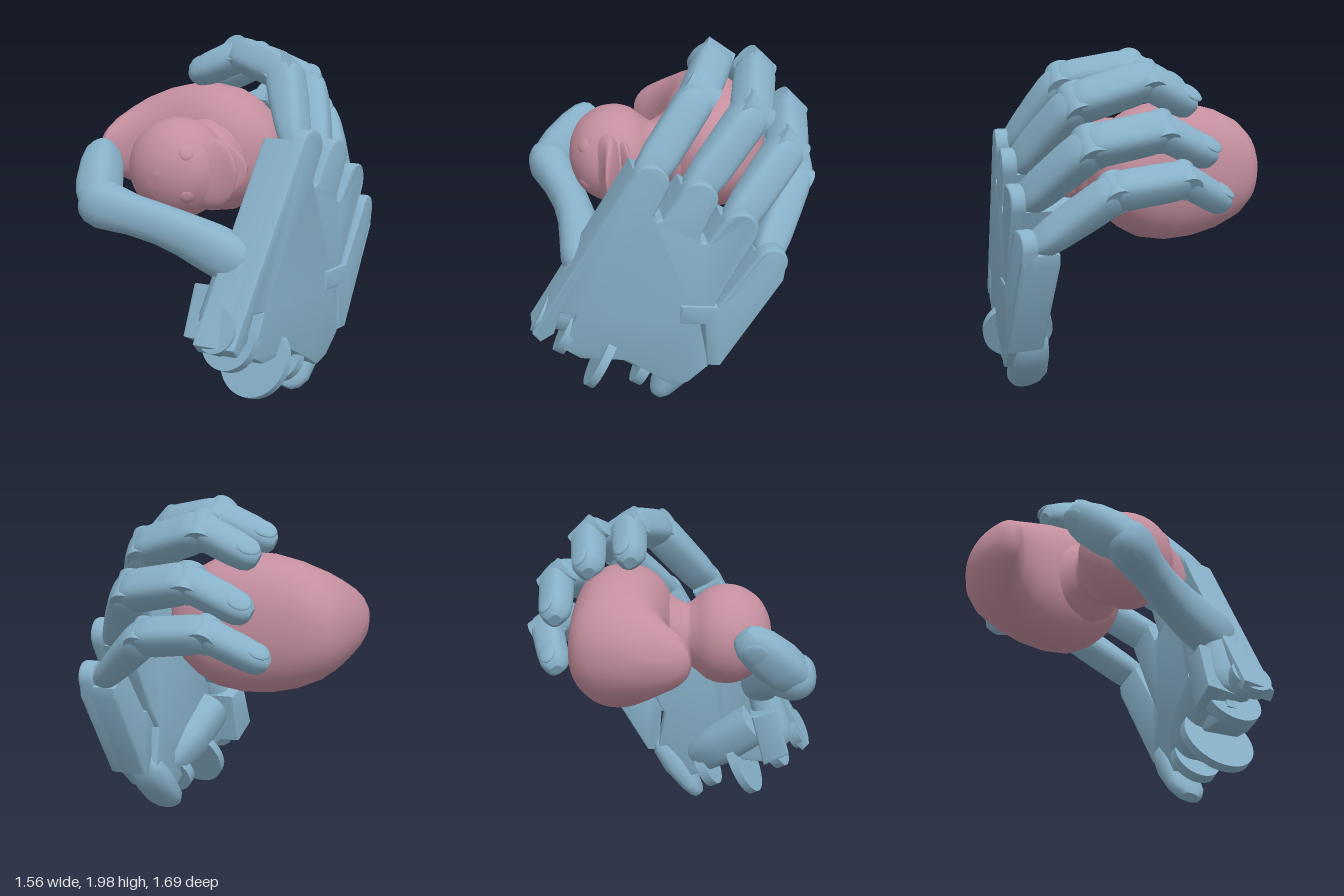
import * as THREE from 'three';
import { toCreasedNormals } from 'three/addons/utils/BufferGeometryUtils.js';

const V = (x, y, z) => new THREE.Vector3(x, y, z);
const blue = new THREE.MeshStandardMaterial({ color: 0x87b0c8 });
const pink = new THREE.MeshStandardMaterial({ color: 0xc48f9e });

function add(parent, name, geo, mat = blue) {
  const m = new THREE.Mesh(geo, mat);
  m.name = name;
  parent.add(m);
  return m;
}

// Closed skin over rings { c, u, v, e }: centre, two half axes with u x v forward, squareness
function loft(rings, n = 24) {
  const pos = [], idx = [];
  const pw = (t, e) => Math.sign(t) * Math.abs(t) ** (2 / e);
  for (const { c, u, v, e = 2 } of rings)
    for (let j = 0; j < n; j++) {
      const a = (j / n) * Math.PI * 2;
      const p = c.clone().addScaledVector(u, pw(Math.cos(a), e)).addScaledVector(v, pw(Math.sin(a), e));
      pos.push(p.x, p.y, p.z);
    }
  for (let i = 0; i < rings.length - 1; i++)
    for (let j = 0; j < n; j++) {
      const k = (j + 1) % n, a = i * n + j, b = i * n + k;
      idx.push(a, b, b + n, a, b + n, a + n);
    }
  const last = rings.length - 1, c0 = rings.length * n;
  pos.push(...rings[0].c.toArray(), ...rings[last].c.toArray());
  for (let j = 0; j < n; j++) {
    const k = (j + 1) % n;
    idx.push(c0, k, j, c0 + 1, last * n + j, last * n + k);
  }
  const g = new THREE.BufferGeometry();
  g.setAttribute('position', new THREE.Float32BufferAttribute(pos, 3));
  g.setIndex(idx);
  g.computeVertexNormals();
  return g;
}

// Straight limb from a to b; profile rows are [t, half width, half height]
function limb(a, b, side, profile, e = 3.2) {
  const w = b.clone().sub(a).normalize();
  const v = w.clone().cross(side).normalize();
  const u = v.clone().cross(w);
  const rings = profile.map(([t, hu, hv]) => ({
    c: a.clone().lerp(b, t), u: u.clone().multiplyScalar(hu), v: v.clone().multiplyScalar(hv), e }));
  return { geo: toCreasedNormals(loft(rings), 0.6), u, v, w };
}

function pin(parent, name, c, axis, r, width) {
  const m = add(parent, name, new THREE.CylinderGeometry(r, r, width, 32));
  m.position.copy(c);
  m.quaternion.setFromUnitVectors(V(0, 1, 0), axis.clone().normalize());
}

function nail(parent, a, b, f, t, lift, s) {
  const m = add(parent, 'nail', new THREE.SphereGeometry(1, 24, 12));
  m.position.copy(a.clone().lerp(b, t)).addScaledVector(f.v, lift);
  m.setRotationFromMatrix(new THREE.Matrix4().makeBasis(f.u, f.v, f.w));
  m.scale.set(s * 0.75, 0.016, s);
}

// Outer face of the palm: x as a function of height and depth, flat beyond the ring knuckle
const palmX = (y, z) => 0.686 + 0.015 * y - 0.242 * Math.max(z, -0.29);

// Plate drawn in (z, y), lying w0 inside the palm face
function plate(points, w0, depth) {
  const g = new THREE.ExtrudeGeometry(new THREE.Shape(points.map(p => new THREE.Vector2(...p))),
    { depth: depth - 0.04, bevelThickness: 0.02, bevelSize: 0.012, bevelOffset: -0.012, bevelSegments: 3 });
  const p = g.attributes.position;
  for (let i = 0; i < p.count; i++) {
    const z = p.getX(i), y = p.getY(i), w = p.getZ(i) + 0.02 + w0;
    p.setXYZ(i, palmX(y, z) - w, y, z);
  }
  return toCreasedNormals(g, 0.5);
}

// Knuckle end of a plate: round with 12 steps, cut straight with 1
const lobe = (z, y, r, steps) => Array.from({ length: steps + 1 }, (_, i) => {
  const a = Math.PI * (1 / 6 + i / steps);
  return [z + r * Math.cos(a), y + r * Math.sin(a)];
});

const palmOutline = steps => [
  ...lobe(0.18, 1.45, 0.095, steps), [0.165, 1.26], [0.15, 1.23], [0.12, 1.24],
  ...lobe(-0.065, 1.365, 0.095, steps), [-0.07, 1.14], [-0.08, 1.11], [-0.11, 1.11],
  ...lobe(-0.275, 1.19, 0.1, steps), [-0.16, 0.73], [-0.08, 0.6], [-0.13, 0.32], [-0.02, 0.2], [0.07, 0.17],
  [0.19, 0.25], [0.32, 0.33], [0.57, 0.33], [0.67, 0.39], [0.58, 0.62], [0.67, 0.63],
  [0.71, 0.49], [0.79, 0.43], [0.83, 0.48]];
const outerOutline = steps => [...lobe(-0.45, 0.98, 0.09, steps), [-0.52, 0.87], [-0.19, 0.33],
  [-0.12, 0.33], [-0.1, 0.6], [0.03, 0.6], [0.03, 0.72], [-0.17, 0.72]];

function makePalm() {
  const g = new THREE.Group();
  g.name = 'palm';
  add(g, 'palmBack', plate(palmOutline(12), 0, 0.09));
  add(g, 'palmBody', plate(palmOutline(1), 0.04, 0.2));
  add(g, 'outerPalmBack', plate(outerOutline(12), -0.01, 0.09));
  add(g, 'outerPalmBody', plate(outerOutline(1), 0.03, 0.18));
  add(g, 'thumbMount', plate([[0.69, 0.46], [0.6, 0.74], [0.46, 0.68], [0.54, 0.37]], 0.18, 0.22));

  // Wrist hinge discs share one axis: [depth, height, radius, width, inset]
  const axis = V(-0.18, 0.4, 0.76);
  for (const [z, y, r, width, inset] of [[0.75, 0.54, 0.12, 0.07, 0.14], [0.61, 0.45, 0.17, 0.06, 0.17],
    [0.43, 0.29, 0.215, 0.05, 0.145], [0.2, 0.24, 0.14, 0.06, 0.145]])
    pin(g, 'wristHinge', V(palmX(y, z) - inset, y, z), axis, r, width);
  pin(g, 'wristAxle', V(0.49, 0.33, 0.34), axis, 0.05, 0.6);

  // Rounded wrist corner and the heel that carries the thumb
  add(g, 'wristCorner', limb(V(0.52, 0.13, 0.08), V(0.57, 0.35, -0.08), V(1, 0, 0),
    [[-0.42, 0.05, 0.03], [-0.32, 0.09, 0.045], [-0.1, 0.12, 0.06], [0.5, 0.12, 0.09], [1, 0.11, 0.08], [1.25, 0.06, 0.04]], 2.5).geo);
  add(g, 'thumbHeel', limb(V(0.5, 0.33, 0.16), V(0.36, 0.6, 0.5), V(1, 0.2, 0.2),
    [[-0.2, 0.06, 0.06], [0, 0.12, 0.12], [0.4, 0.15, 0.14], [1, 0.14, 0.13]], 2.8).geo);
  return g;
}

function makeFinger(name, points, s) {
  const g = new THREE.Group();
  g.name = name;
  const [a, b, c, d] = points.map(p => V(...p));
  const side = b.clone().sub(a).cross(c.clone().sub(b)).normalize();
  const h = 0.104 * s;
  add(g, 'lowerSegment', limb(a, b, side, [[-0.05, h * 0.7, h * 0.5], [0.05, h * 0.92, h * 0.68],
    [0.25, h, h * 0.8], [0.6, h, h * 0.95], [0.85, h, h], [0.97, h * 0.95, h * 0.95], [1.04, h * 0.82, h * 0.8]]).geo);
  add(g, 'middleSegment', limb(b, c, side, [[-0.06, h * 0.8, h * 0.75], [0.03, h * 0.98, h * 0.95],
    [0.2, h, h], [0.8, h, h * 0.95], [0.97, h * 0.92, h * 0.9], [1.05, h * 0.78, h * 0.72]]).geo);
  const tip = limb(c, d, side, [[-0.08, h * 0.7, h * 0.7], [0.08, h * 0.9, h * 0.85], [0.6, h * 0.87, h * 0.82],
    [0.84, h * 0.8, h * 0.74], [0.95, h * 0.64, h * 0.58], [1.02, h * 0.35, h * 0.32]], 2.8);
  add(g, 'fingertip', tip.geo);
  nail(g, c, d, tip, 0.78, h * 0.72, 0.075 * s);
  pin(g, 'middleJoint', b, side, h * 0.86, h * 1.75);
  pin(g, 'endJoint', c, side, h * 0.8, h * 1.65);
  return g;
}

function makeThumb() {
  const g = new THREE.Group();
  g.name = 'thumb';
  const base = V(0.35, 0.57, 0.62), root = V(0.38, 0.865, 0.52), joint = V(-0.41, 1.14, 0.655), end = V(-0.54, 1.4, 0.35);
  add(g, 'thumbBase', limb(base, root, V(1, 0, 0.3), [[-0.4, 0.07, 0.05], [-0.34, 0.11, 0.08], [-0.2, 0.14, 0.1],
    [0, 0.15, 0.11], [0.6, 0.125, 0.1], [1, 0.11, 0.09], [1.2, 0.05, 0.05]], 2.5).geo);
  // Waisted main segment follows a slight bow and ends in two round knuckles
  const curve = new THREE.CatmullRomCurve3([V(0.46, 0.845, 0.51), root, V(0.2, 0.93, 0.52), V(-0.02, 1.01, 0.54),
    V(-0.25, 1.085, 0.605), joint, V(-0.5, 1.17, 0.67)]);
  const rows = [[0, 0.05], [0.02, 0.09], [0.06, 0.12], [0.12, 0.138], [0.25, 0.134], [0.4, 0.12], [0.55, 0.112],
    [0.7, 0.112], [0.8, 0.125], [0.87, 0.134], [0.93, 0.122], [0.97, 0.095], [0.99, 0.065], [1, 0.035]];
  add(g, 'thumbSegment', loft(rows.map(([t, r]) => {
    const w = curve.getTangentAt(t), u = V(0, 1, 0).cross(w).normalize(), v = w.clone().cross(u);
    return { c: curve.getPointAt(t), u: u.multiplyScalar(r * 0.9), v: v.multiplyScalar(r), e: 2.3 };
  })));
  const dir = end.clone().sub(joint);
  const side = V(-1, 0.1, -0.45).cross(dir).normalize();
  const tip = limb(joint, end, side, [[-0.1, 0.08, 0.08], [0.12, 0.115, 0.11], [0.3, 0.125, 0.115], [0.65, 0.118, 0.105],
    [0.85, 0.1, 0.088], [0.96, 0.075, 0.065], [1.01, 0.045, 0.035]], 2.8);
  add(g, 'thumbTip', tip.geo);
  nail(g, joint, end, tip, 0.76, 0.087, 0.09);
  return g;
}

// Toy duck lying on its side: beak toward +x, crown toward +z
function makeDuck() {
  const g = new THREE.Group();
  g.name = 'duck';
  const cy = 1.315, headY = 1.295;
  // [x, bottom z, top z, half width]
  const sections = [[-0.778, -0.18, -0.04, 0.03], [-0.765, -0.27, 0.03, 0.09], [-0.74, -0.36, 0.07, 0.14],
    [-0.7, -0.46, 0.085, 0.19], [-0.65, -0.53, 0.03, 0.24], [-0.58, -0.57, -0.02, 0.29], [-0.45, -0.58, -0.05, 0.345],
    [-0.3, -0.585, -0.03, 0.38], [-0.15, -0.585, 0, 0.39], [0, -0.58, 0, 0.365], [0.1, -0.56, -0.03, 0.31],
    [0.18, -0.52, -0.09, 0.24], [0.24, -0.46, -0.16, 0.16], [0.27, -0.39, -0.22, 0.08]];
  add(g, 'duckBody', loft(sections.map(([x, z0, z1, w]) => ({
    c: V(x, cy, (z0 + z1) / 2), u: V(0, w, 0), v: V(0, 0, (z1 - z0) / 2), e: 2.25 })), 40), pink);

  const profile = new THREE.SplineCurve([[0.25, -0.25], [0.26, -0.1], [0.205, 0], [0.175, 0.06], [0.205, 0.11],
    [0.26, 0.18], [0.283, 0.27], [0.268, 0.37], [0.2, 0.47], [0.1, 0.525], [0, 0.542]].map(p => new THREE.Vector2(...p)));
  const pts = profile.getPoints(40);
  pts[40].x = 0;
  const head = add(g, 'duckHead', new THREE.LatheGeometry(pts, 40), pink);
  head.rotation.x = Math.PI / 2;
  head.position.set(-0.1, headY, 0);

  // Two parted bills; rows are [x, z, half width, half thickness]
  const bill = rows => loft(rows.map(([x, z, w, t]) => ({ c: V(x, headY, z), u: V(0, w, 0), v: V(0, 0, t) })), 32);
  add(g, 'upperBill', bill([[-0.06, 0.36, 0.19, 0.14], [0.06, 0.345, 0.2, 0.11], [0.14, 0.335, 0.2, 0.07],
    [0.2, 0.34, 0.18, 0.045], [0.25, 0.355, 0.135, 0.025], [0.28, 0.365, 0.08, 0.014], [0.292, 0.37, 0.03, 0.008]]), pink);
  add(g, 'lowerBill', bill([[-0.06, 0.27, 0.17, 0.1], [0.08, 0.265, 0.18, 0.065], [0.16, 0.25, 0.165, 0.035],
    [0.23, 0.235, 0.12, 0.02], [0.275, 0.225, 0.07, 0.012], [0.29, 0.22, 0.03, 0.008]]), pink);
  for (const s of [-1, 1]) {
    const eye = add(g, 'eye', new THREE.SphereGeometry(1, 20, 12), pink);
    const n = V(0.52, 0.43 * s, 0.74).normalize();
    eye.position.copy(V(-0.1, headY, 0.26)).addScaledVector(n, 0.277);
    eye.quaternion.setFromUnitVectors(V(0, 0, 1), n);
    eye.scale.set(0.045, 0.045, 0.02);
  }
  return g;
}

export function createModel() {
  const model = new THREE.Group();
  model.name = 'handHoldingDuck';
  model.add(makePalm(), makeThumb(), makeDuck());
  // Knuckle, middle joint, end joint and tip of each finger
  model.add(
    makeFinger('indexFinger', [[0.56, 1.45, 0.18], [0.37, 1.81, -0.12], [0.03, 1.885, -0.27], [-0.28, 1.745, -0.25]], 1),
    makeFinger('middleFinger', [[0.61, 1.365, -0.065], [0.41, 1.71, -0.4], [0.05, 1.83, -0.5], [-0.25, 1.68, -0.48]], 1),
    makeFinger('ringFinger', [[0.66, 1.19, -0.275], [0.42, 1.5, -0.6], [0.06, 1.575, -0.69], [-0.27, 1.42, -0.67]], 1),
    makeFinger('littleFinger', [[0.66, 0.98, -0.45], [0.32, 1.27, -0.68], [-0.05, 1.32, -0.745], [-0.36, 1.16, -0.66]], 0.92));
  return model;
}
